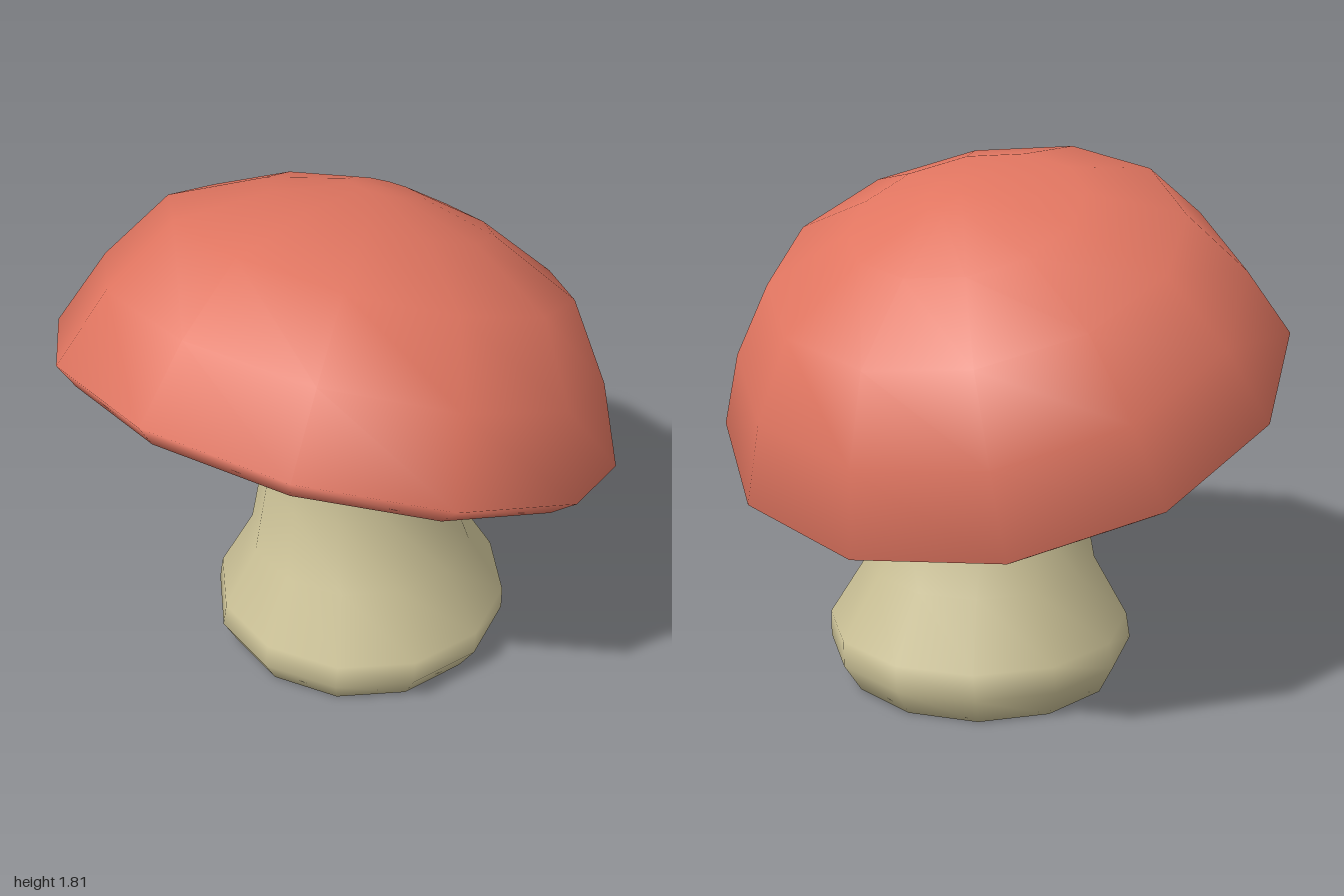
import * as THREE from 'three';

const SIDES = 12;

// Smooth, 12-sided turned part; profile runs counter-clockwise as [radius, height]
function turned(name, profile, color) {
  const points = profile.map(([r, y]) => new THREE.Vector2(r, y));
  const material = new THREE.MeshStandardMaterial({ color });
  const mesh = new THREE.Mesh(new THREE.LatheGeometry(points, SIDES), material);
  mesh.name = name;
  return mesh;
}

export function createModel() {
  const model = new THREE.Group();
  model.name = 'mushroom';

  // Tilted cap, its rim centred on the group's origin
  const cap = new THREE.Group();
  cap.name = 'cap';
  cap.position.set(0, 1.045, 0);
  cap.rotation.x = -0.363;

  // Dome: inner wall, rolled lip, outer shell
  cap.add(turned('capShell', [
    [0.63, 0.24], [0.80, 0.16], [0.87, 0.02], [0.92, -0.065],
    [1, 0], [0.883, 0.273], [0.71, 0.527], [0.40, 0.668], [0.125, 0.735], [0, 0.738],
  ], 0xe07560));

  // Dark underside, bulging down towards the stem, with a rounded outer edge
  cap.add(turned('gills', [
    [0, -0.03], [0.25, -0.005], [0.36, 0.085], [0.50, 0.105],
    [0.59, 0.13], [0.65, 0.18], [0.64, 0.25],
  ], 0x38372d));
  model.add(cap);

  // Stem, turned and then bent sideways ring by ring; its top is sunk in the gills
  const rings = [ // height, radius, sideways shift
    [0, 0.48, 0.03], [0.1, 0.537, 0.037], [0.19, 0.53, 0.045], [0.41, 0.403, 0.035],
    [0.66, 0.333, 0.005], [0.86, 0.315, -0.012], [1.1, 0.343, -0.005], [1.2, 0.35, -0.005],
  ];
  const stem = turned('stem', [
    [0, 0], ...rings.map(([y, r]) => [r, y]), [0, 1.2],
  ], 0xcdc398);
  const pos = stem.geometry.attributes.position;
  for (let i = 0; i < pos.count; i++) {
    const ring = rings.find(([y]) => Math.abs(y - pos.getY(i)) < 1e-4);
    pos.setX(i, pos.getX(i) + ring[2]);
  }
  stem.position.z = -0.1;
  model.add(stem);

  return model;
}
